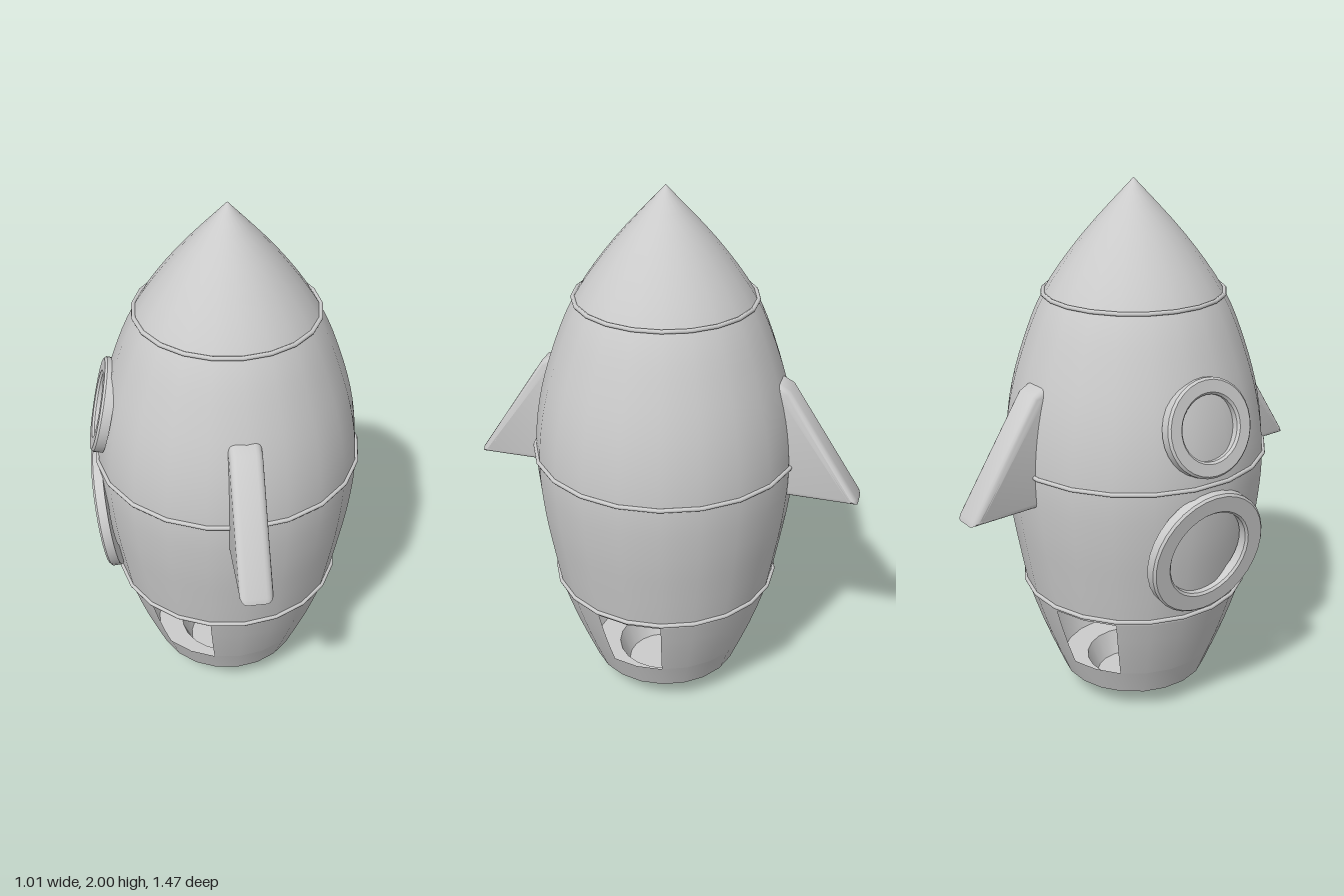
import * as THREE from 'three';
import { toCreasedNormals } from 'three/addons/utils/BufferGeometryUtils.js';

const SIDES = 21;
const STEP = (Math.PI * 2) / SIDES;
const grey = new THREE.MeshStandardMaterial({ color: 0xcccccc, side: THREE.DoubleSide });

const toPoints = (list) => list.map(([r, y]) => new THREE.Vector2(r, y));

function addMesh(parent, name, geometry) {
  const mesh = new THREE.Mesh(geometry, grey);
  mesh.name = name;
  parent.add(mesh);
  return mesh;
}

// Lathe whose first corner lies on +x, turned by a number of sides
function turned(points, firstSide = 0, sides = SIDES) {
  return new THREE.LatheGeometry(points, sides, Math.PI / 2 + firstSide * STEP, sides * STEP);
}

// Flat round frame with chamfered edges, face at y = 0
function portholeGeometry(outer, inner, depth) {
  const b = 0.008;
  const profile = toPoints([
    [inner, -depth], [outer, -depth], [outer, -b], [outer - b, 0],
    [inner + b, 0], [inner, -b], [inner, -depth],
  ]);
  return toCreasedNormals(new THREE.LatheGeometry(profile, 32), 0.5);
}

// Triangular fin with rounded edges, pointing to +z
function finGeometry() {
  const shape = new THREE.Shape(toPoints([
    [0.39, 0.89], [0.735, 0.89], [0.73, 0.91], [0.468, 1.31], [0.43, 1.33], [0.39, 1.33],
  ]));
  const bevel = 0.025;
  const geometry = new THREE.ExtrudeGeometry(shape, {
    depth: 0.115 - 2 * bevel, bevelSize: bevel, bevelThickness: bevel,
    bevelOffset: -bevel, bevelSegments: 4,
  });
  geometry.translate(0, 0, bevel - 0.0575);
  geometry.rotateY(-Math.PI / 2);
  return toCreasedNormals(geometry, 0.7);
}

export function createModel() {
  const model = new THREE.Group();
  model.name = 'rocket';

  // The hull is turned slightly relative to the fins
  const hull = new THREE.Group();
  hull.name = 'hull';
  hull.rotation.y = -0.061;
  model.add(hull);

  // Nozzle, flat underside and the skirt below the windows
  const tail = toPoints([[0, 0], [0.148, 0], [0.187, 0.09], [0.284, 0.09], [0.328, 0.2]]);
  addMesh(hull, 'tail', toCreasedNormals(turned(tail), 0.6));

  // Three skirt walls, leaving a two-sided window opening between them
  const wall = toPoints([[0.328, 0.2], [0.362, 0.29], [0.392, 0.38], [0.416, 0.46]]);
  for (let i = 0; i < 3; i++) {
    addMesh(hull, 'skirtWall', turned(wall, i * 7 + 1, 5));
  }

  // Body and nose as one smooth shell
  const bodyCurve = new THREE.SplineCurve(toPoints([
    [0.416, 0.46], [0.441, 0.6], [0.472, 0.8], [0.485, 1.0], [0.464, 1.2],
    [0.409, 1.4], [0.325, 1.6], [0.183, 1.8], [0, 2],
  ]));
  addMesh(hull, 'body', turned(bodyCurve.getPoints(32)));

  // Thin bands around the body
  for (const [radius, y] of [[0.424, 0.48], [0.488, 1.015], [0.327, 1.603]]) {
    const band = addMesh(hull, 'band', new THREE.TorusGeometry(radius, 0.008, 8, SIDES));
    band.rotation.x = Math.PI / 2;
    band.position.y = y;
  }

  // Portholes on the right side, tilted to follow the hull
  const portholes = [
    ['upperPorthole', 0.175, 0.116, -0.472, 1.222, 0.23],
    ['lowerPorthole', 0.24, 0.165, -0.482, 0.745, -0.13],
  ];
  for (const [name, outer, inner, x, y, tilt] of portholes) {
    const frame = addMesh(hull, name, portholeGeometry(outer, inner, 0.042));
    frame.position.set(x, y, 0);
    frame.rotation.z = Math.PI / 2 - tilt;
  }

  // Front and back fins
  const fin = finGeometry();
  addMesh(model, 'frontFin', fin);
  addMesh(model, 'backFin', fin).rotation.y = Math.PI;

  return model;
}
